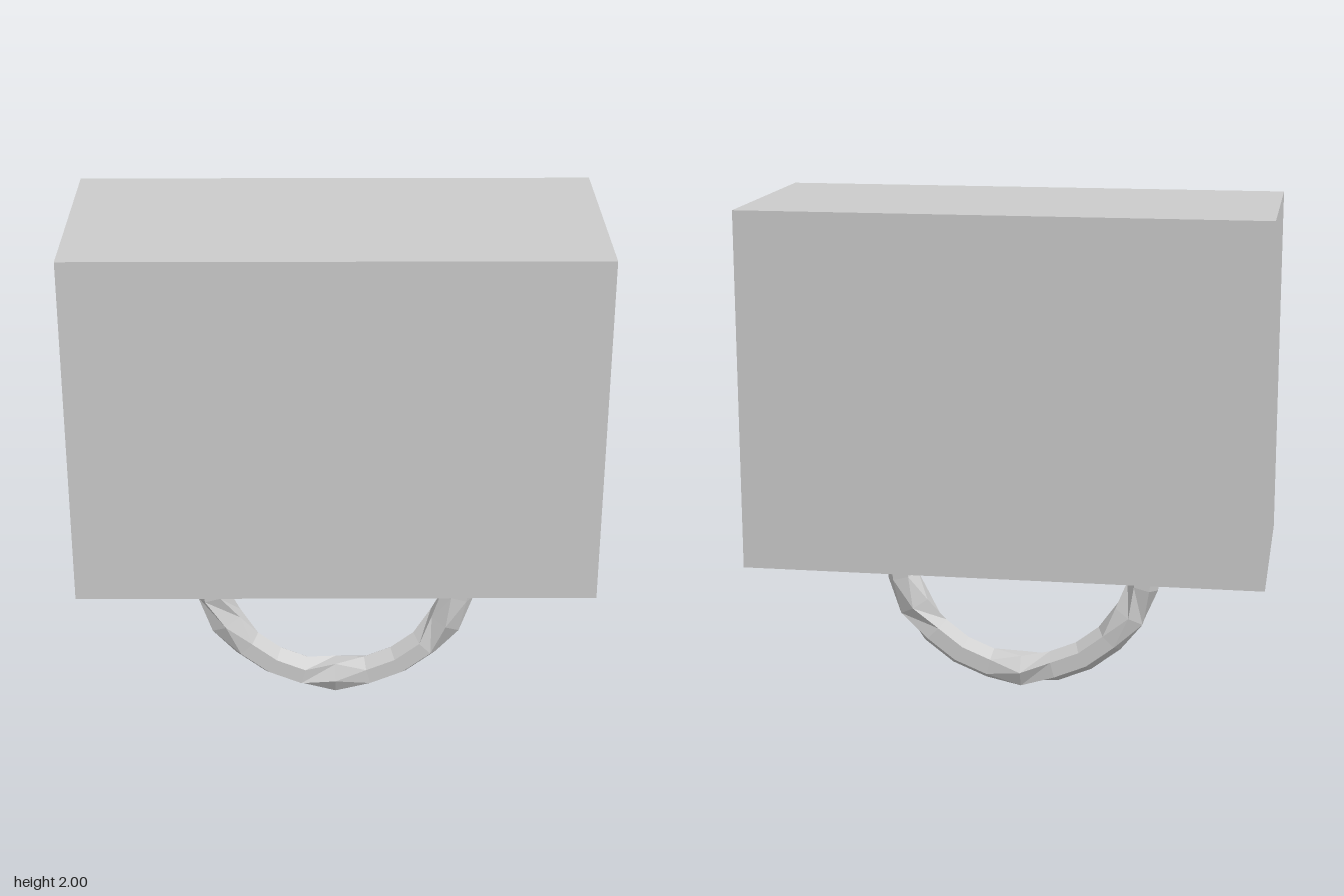
import * as THREE from 'three';

export function createModel() {
  const group = new THREE.Group();
  const material = new THREE.MeshStandardMaterial({ color: 0xcccccc, flatShading: true });

  // Solid block
  const body = new THREE.Mesh(new THREE.BoxGeometry(2, 1.38, 0.91), material);
  body.name = 'body';
  body.position.y = 1.31;
  group.add(body);

  // Six-sided hoop hanging below the block, its ends buried inside
  const R = 0.51, r = 0.064, sides = 6, segments = 14, step = Math.PI / 12;
  const hoop = new THREE.TorusGeometry(R, r, sides, segments, segments * step);
  const pos = hoop.attributes.position;

  // Three rings are turned by half a side, giving the faceted, hammered look
  for (const i of [3, 7, 11]) {
    const u = i * step;
    for (let j = 0; j <= sides; j++) {
      const v = ((j + 0.5) / sides) * Math.PI * 2;
      const d = R + 1.15 * r * Math.cos(v);
      pos.setXYZ(j * (segments + 1) + i, d * Math.cos(u), d * Math.sin(u), r * Math.sin(v));
    }
  }
  hoop.rotateZ(Math.PI - step);
  hoop.computeVertexNormals();

  const shackle = new THREE.Mesh(hoop, material);
  shackle.name = 'shackle';
  shackle.position.set(0, 0.574, 0.11);
  group.add(shackle);

  return group;
}
